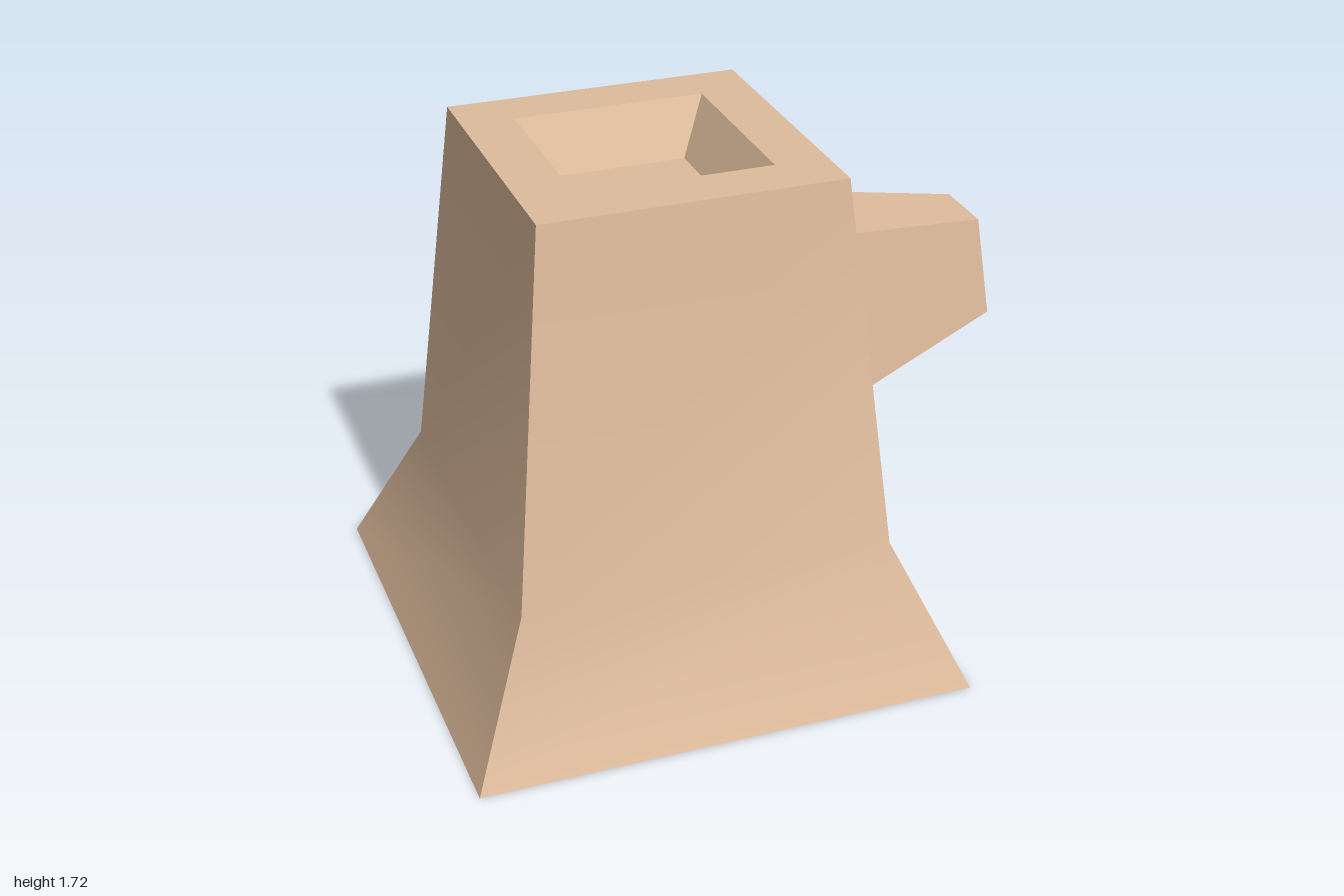
import * as THREE from 'three';
import { mergeGeometries } from 'three/addons/utils/BufferGeometryUtils.js';

const wood = new THREE.MeshStandardMaterial({ color: 0xdfbc9d });
wood.name = 'light wood';

// Sweeps a [half width, y] profile round a square: smooth along the profile, sharp at the corners.
function squareLathe(name, profile) {
  const sides = [];
  for (let s = 0; s < 4; s++) {
    const pos = [], idx = [];
    profile.forEach(([h, y], i) => {
      pos.push(-h, y, h, h, y, h);
      if (i) {
        const a = 2 * i - 2;
        idx.push(a, a + 1, a + 3, a, a + 3, a + 2);
      }
    });
    const g = new THREE.BufferGeometry();
    g.setAttribute('position', new THREE.Float32BufferAttribute(pos, 3));
    g.setIndex(idx);
    g.computeVertexNormals();
    sides.push(g.rotateY(s * Math.PI / 2));
  }
  const mesh = new THREE.Mesh(mergeGeometries(sides), wood);
  mesh.name = name;
  return mesh;
}

// Flat-sided stub lofted between two trapezoids, closed at the tip.
function branchStub() {
  const section = ([xLow, yLow, zLow], [xTop, yTop, zTop]) => [
    [xLow, yLow, zLow], [xLow, yLow, -zLow], [xTop, yTop, -zTop], [xTop, yTop, zTop],
  ];
  const root = section([0.412, 0.8, 0.26], [0.352, 1.395, 0.2]);
  const tip = section([1, 0.995, 0.145], [0.963, 1.325, 0.11]);
  const pos = [];
  const quad = (a, b, c, d) => pos.push(...a, ...b, ...c, ...a, ...c, ...d);
  for (let i = 0; i < 4; i++) {
    const j = (i + 1) % 4;
    quad(root[i], root[j], tip[j], tip[i]);
  }
  quad(...tip);
  const g = new THREE.BufferGeometry();
  g.setAttribute('position', new THREE.Float32BufferAttribute(pos, 3));
  g.computeVertexNormals();
  const mesh = new THREE.Mesh(g, wood);
  mesh.name = 'branchStub';
  return mesh;
}

export function createModel() {
  const model = new THREE.Group();
  model.name = 'treeStump';

  // Trunk with flared foot and a square hollow in its top
  const trunk = new THREE.Group();
  trunk.name = 'trunk';
  trunk.position.x = -0.17;
  trunk.add(
    squareLathe('underside', [[0, 0], [0.83, 0]]),
    squareLathe('bark', [[0.83, 0], [0.617, 0.48], [0.492, 1.72]]),
    squareLathe('rim', [[0.492, 1.72], [0.318, 1.72]]),
    squareLathe('hollowWalls', [[0.318, 1.72], [0.222, 1.545]]),
    squareLathe('hollowFloor', [[0.222, 1.545], [0, 1.545]]),
  );

  model.add(trunk, branchStub());
  return model;
}
